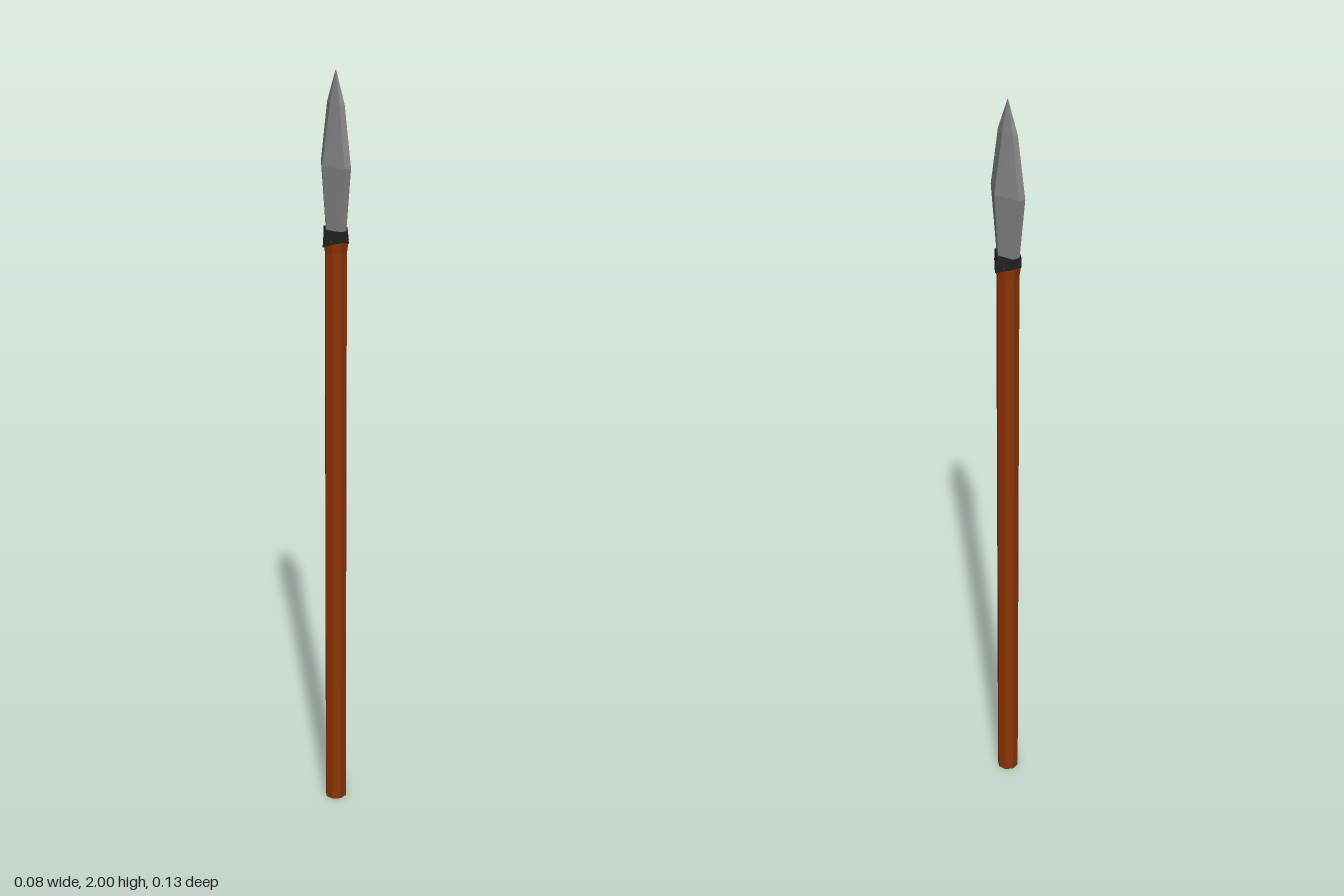
import * as THREE from 'three';

const paint = (color) => new THREE.MeshStandardMaterial({ color, flatShading: true });

// Six-sided section: ridges at +-x, narrow flats at +-z. drop lowers the ridge corners.
function section({ y, x, z, flat, drop = 0 }) {
  return [[x, y - drop, 0], [flat, y, z], [-flat, y, z],
    [-x, y - drop, 0], [-flat, y, -z], [flat, y, -z]];
}

// Skin between stacked sections, listed bottom to top, with both ends closed.
function loft(sections) {
  const rings = sections.map(section);
  const index = [];
  const n = 6;
  for (let r = 0; r < rings.length - 1; r++) {
    for (let i = 0; i < n; i++) {
      const a = r * n + i, b = r * n + (i + 1) % n;
      index.push(a, a + n, b, b, a + n, b + n);
    }
  }
  const top = (rings.length - 1) * n;
  for (let i = 1; i < n - 1; i++) {
    index.push(0, i, i + 1);
    index.push(top, top + i + 1, top + i);
  }
  const geometry = new THREE.BufferGeometry();
  geometry.setAttribute('position', new THREE.Float32BufferAttribute(rings.flat(2), 3));
  geometry.setIndex(index);
  const faceted = geometry.toNonIndexed();
  faceted.computeVertexNormals();
  return faceted;
}

export function createModel() {
  const model = new THREE.Group();
  model.name = 'spear';
  const add = (name, geometry, color) => {
    const mesh = new THREE.Mesh(geometry, paint(color));
    mesh.name = name;
    model.add(mesh);
    return mesh;
  };

  // Straight octagonal pole
  add('shaft', new THREE.CylinderGeometry(0.029, 0.029, 1.58, 8), 0x8b3408).position.y = 0.79;

  // Wood swelling under the binding
  const flare = add('shaftFlare', new THREE.CylinderGeometry(0.034, 0.029, 0.035, 8), 0x8b3408);
  flare.position.y = 1.5675;

  // Dark binding, its side corners dipping down the pole
  add('collar', loft([
    { y: 1.582, x: 0.037, z: 0.037, flat: 0.016, drop: 0.016 },
    { y: 1.61, x: 0.032, z: 0.039, flat: 0.014 },
  ]), 0x222222);

  // Leaf-shaped blade
  add('spearhead', loft([
    { y: 1.605, x: 0.027, z: 0.038, flat: 0.009 },
    { y: 1.77, x: 0.038, z: 0.063, flat: 0.009 },
    { y: 1.92, x: 0.016, z: 0.033, flat: 0.007 },
    { y: 2.0, x: 0.0005, z: 0.001, flat: 0.0003 },
  ]), 0x848484);

  return model;
}
